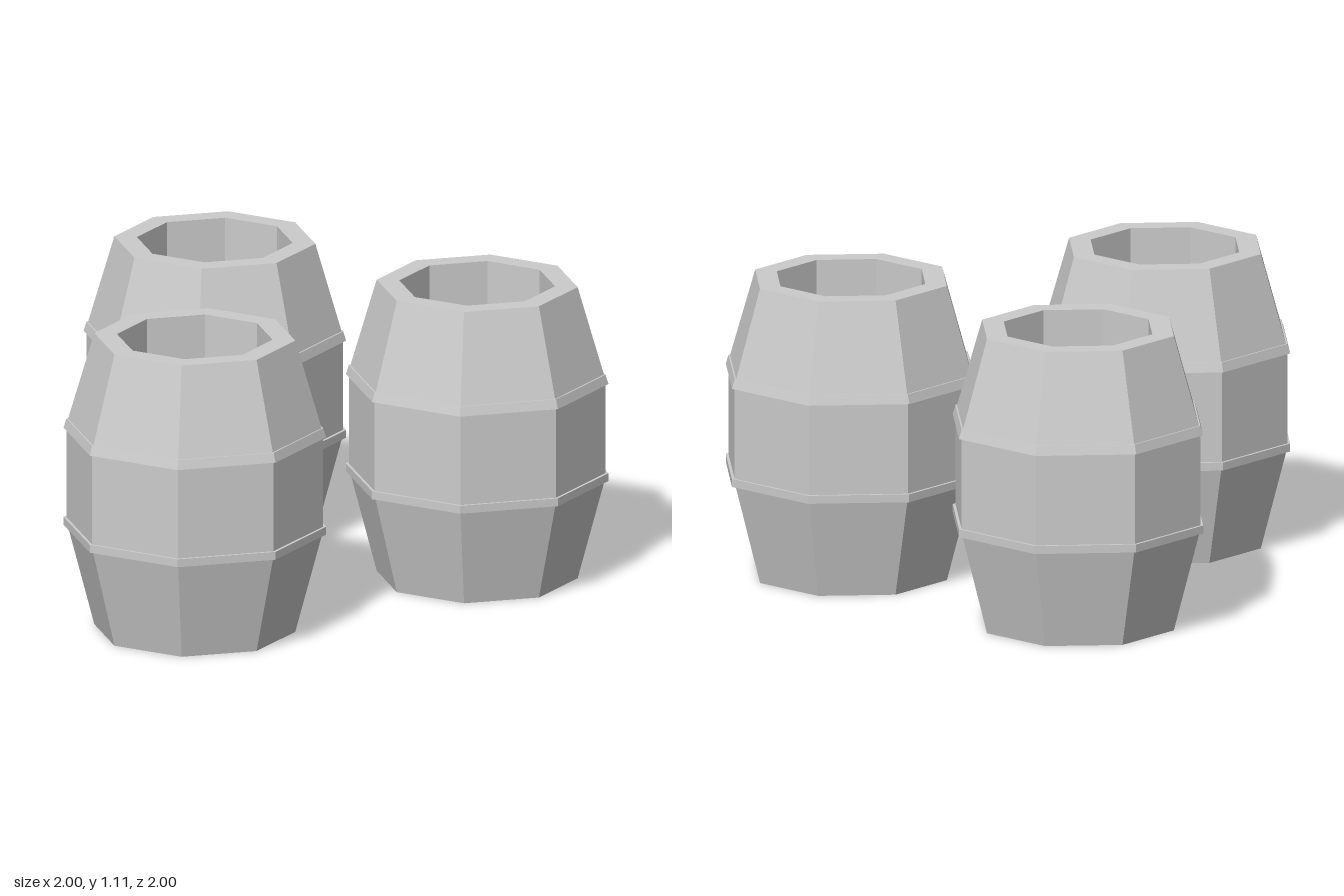
import * as THREE from 'three';

const SIDES = 8;
const material = new THREE.MeshStandardMaterial({ color: 0xcccccc, flatShading: true });

// Octagonal lathe with flats facing the axes; profile is [distance to flat, height]
function octLathe(name, profile) {
  const k = 1 / Math.cos(Math.PI / SIDES);
  const points = profile.map(([a, y]) => new THREE.Vector2(a * k, y));
  const mesh = new THREE.Mesh(new THREE.LatheGeometry(points, SIDES, Math.PI / SIDES), material);
  mesh.name = name;
  return mesh;
}

function makeBarrel(name, x, z) {
  const barrel = new THREE.Group();
  barrel.name = name;
  // Underside, bulging staves, rim, inner wall and floor
  barrel.add(octLathe('barrelBody', [
    [0, 0], [0.342, 0], [0.437, 0.39], [0.437, 0.76],
    [0.342, 1.11], [0.265, 1.11], [0.265, 0.1], [0, 0.1],
  ]));
  // Thin hoops at both bends of the staves
  barrel.add(octLathe('lowerHoop', [
    [0.42, 0.375], [0.447, 0.375], [0.447, 0.405], [0.42, 0.405],
  ]));
  barrel.add(octLathe('upperHoop', [
    [0.41, 0.745], [0.447, 0.745], [0.437, 0.78], [0.41, 0.78],
  ]));
  barrel.position.set(x, 0, z);
  return barrel;
}

export function createModel() {
  const group = new THREE.Group();
  group.name = 'barrels';
  group.add(
    makeBarrel('frontBarrel', 0, 0.553),
    makeBarrel('backLeftBarrel', 0.553, -0.553),
    makeBarrel('backRightBarrel', -0.553, -0.553),
  );
  return group;
}
